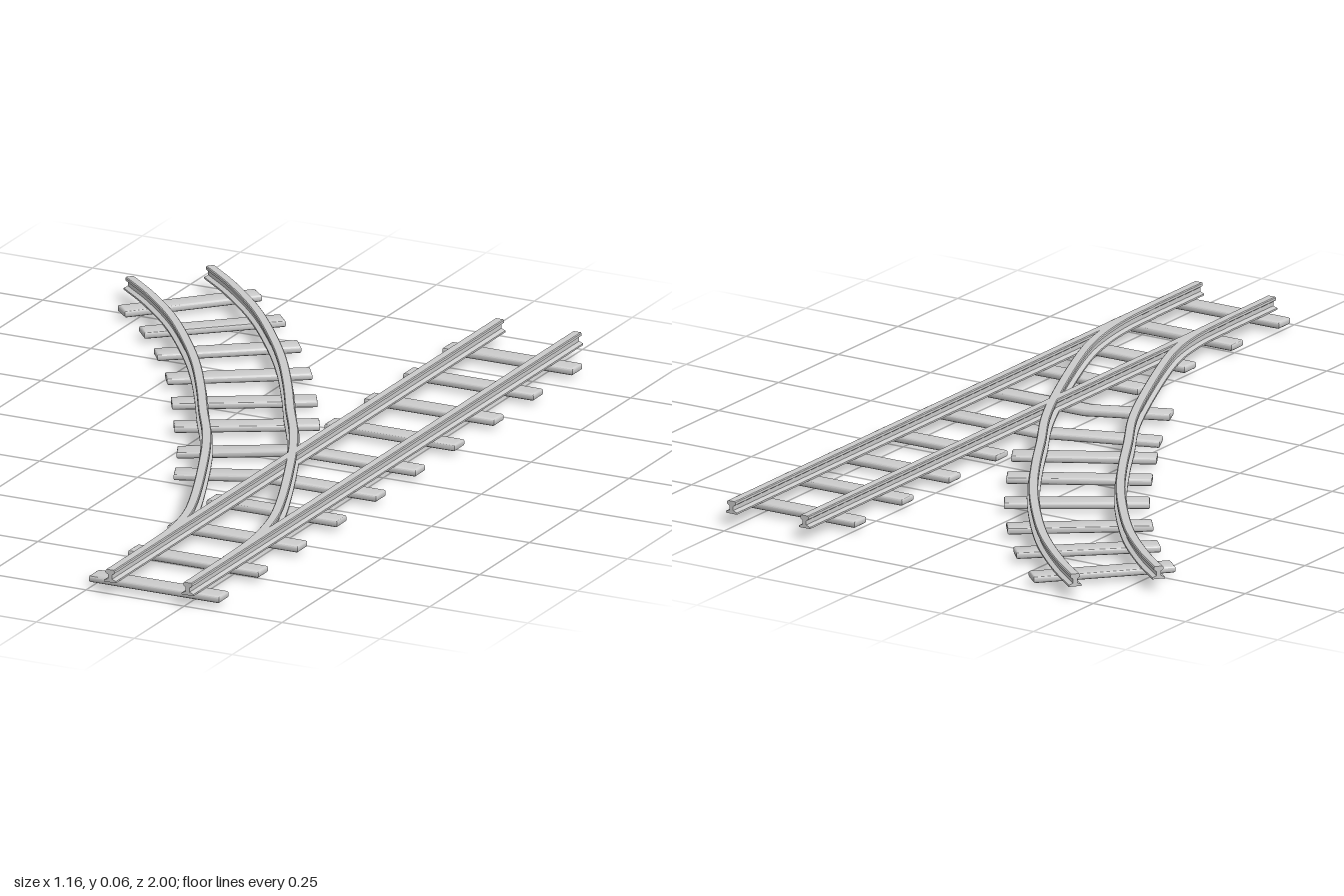
import * as THREE from 'three';
import { toCreasedNormals } from 'three/addons/utils/BufferGeometryUtils.js';

const GAUGE = 0.099;   // half the distance between rails
const HALF_TIE = 0.166; // half a sleeper's length
const UP = new THREE.Vector3(0, 1, 0);
const material = new THREE.MeshStandardMaterial({ color: 0xcccccc });

// I-beam cross-section: half widths with heights, mirrored
function railProfile() {
  const half = [[0.015, 0.028], [0.015, 0.032], [0.005, 0.036], [0.005, 0.046], [0.011, 0.05], [0.011, 0.056], [0.009, 0.058]];
  const other = half.map(([x, y]) => [-x, y]).reverse();
  return new THREE.Shape([...half, ...other].map(([x, y]) => new THREE.Vector2(x, y)));
}

// Bends a straight extruded rail along a path, shifted sideways by offset
function rail(name, path, offset, steps) {
  const geo = new THREE.ExtrudeGeometry(railProfile(), { depth: 1, steps, bevelEnabled: false });
  const pos = geo.attributes.position;
  for (let i = 0; i < pos.count; i++) {
    const t = THREE.MathUtils.clamp(pos.getZ(i), 0, 1);
    const p = path.getPoint(t);
    const side = new THREE.Vector3().crossVectors(UP, path.getTangent(t)).normalize();
    p.addScaledVector(side, pos.getX(i) + offset);
    pos.setXYZ(i, p.x, pos.getY(i), p.z);
  }
  const mesh = new THREE.Mesh(toCreasedNormals(geo, 0.5), material);
  mesh.name = name;
  return mesh;
}

// Soft-edged sleeper following a centre line of [x, z] points; dip lowers its first end
function sleeper(name, line, dip = 0) {
  const pts = line.map(([x, z]) => new THREE.Vector2(x, -z));
  const edge = (sign) => pts.map((p, i) => {
    const a = pts[Math.max(i - 1, 0)], b = pts[Math.min(i + 1, pts.length - 1)];
    const d = b.clone().sub(a).normalize();
    return new THREE.Vector2(p.x - d.y * 0.024 * sign, p.y + d.x * 0.024 * sign);
  });
  const geo = new THREE.ExtrudeGeometry(new THREE.Shape([...edge(-1), ...edge(1).reverse()]), {
    depth: 0.008, bevelThickness: 0.005, bevelSize: 0.007, bevelOffset: -0.007, bevelSegments: 3,
  });
  geo.rotateX(-Math.PI / 2).translate(0, 0.014, 0);
  if (dip) {
    const pos = geo.attributes.position;
    const x0 = line[0][0], x1 = line[1][0];
    for (let i = 0; i < pos.count; i++) {
      const t = THREE.MathUtils.clamp((x1 - pos.getX(i)) / (x1 - x0), 0, 1);
      pos.setY(i, pos.getY(i) - dip * t);
    }
  }
  const mesh = new THREE.Mesh(toCreasedNormals(geo, 0.9), material);
  mesh.name = name;
  return mesh;
}

export function createModel() {
  const model = new THREE.Group();
  model.name = 'railwaySwitch';

  // Straight track
  const straight = new THREE.Group();
  straight.name = 'straightTrack';
  const cx = 0.41;
  const line = new THREE.LineCurve3(new THREE.Vector3(cx, 0, 1), new THREE.Vector3(cx, 0, -0.956));
  for (const s of [-1, 1]) straight.add(rail('straightRail', line, s * GAUGE, 1));
  // The two sleepers at the fork bend round to carry both tracks
  const bentEnds = { 4: [0.087, 0.236], 5: [0.013, 0.077] };
  for (let i = 0; i < 10; i++) {
    const z = 0.95 - i * 0.1972;
    const right = [cx + HALF_TIE, z];
    if (bentEnds[i]) straight.add(sleeper('forkSleeper', [bentEnds[i], [0.265, z], right], i === 5 ? 0.009 : 0));
    else straight.add(sleeper('straightSleeper', [[cx - HALF_TIE, z], right]));
  }
  model.add(straight);

  // Diverging track, centre line from the points to the far end
  const branch = new THREE.Group();
  branch.name = 'branchTrack';
  const centres = [
    [0.409, 0.8], [0.407, 0.7], [0.395, 0.6], [0.368, 0.491], [0.241, 0.172], [0.164, 0.007],
    [0.082, -0.137], [0.003, -0.28], [-0.09, -0.435], [-0.193, -0.582], [-0.299, -0.715], [-0.418, -0.836], [-0.508, -0.913],
  ];
  const curve = new THREE.CatmullRomCurve3(centres.map(([x, z]) => new THREE.Vector3(x, 0, z)));
  for (const s of [-1, 1]) branch.add(rail('branchRail', curve, s * GAUGE, 72));
  for (let i = 6; i < 12; i++) {
    const [x, z] = centres[i];
    const d = curve.getTangent(i / (centres.length - 1));
    const ax = -d.z * HALF_TIE, az = d.x * HALF_TIE;
    branch.add(sleeper('branchSleeper', [[x - ax, z - az], [x + ax, z + az]]));
  }
  model.add(branch);
  return model;
}
